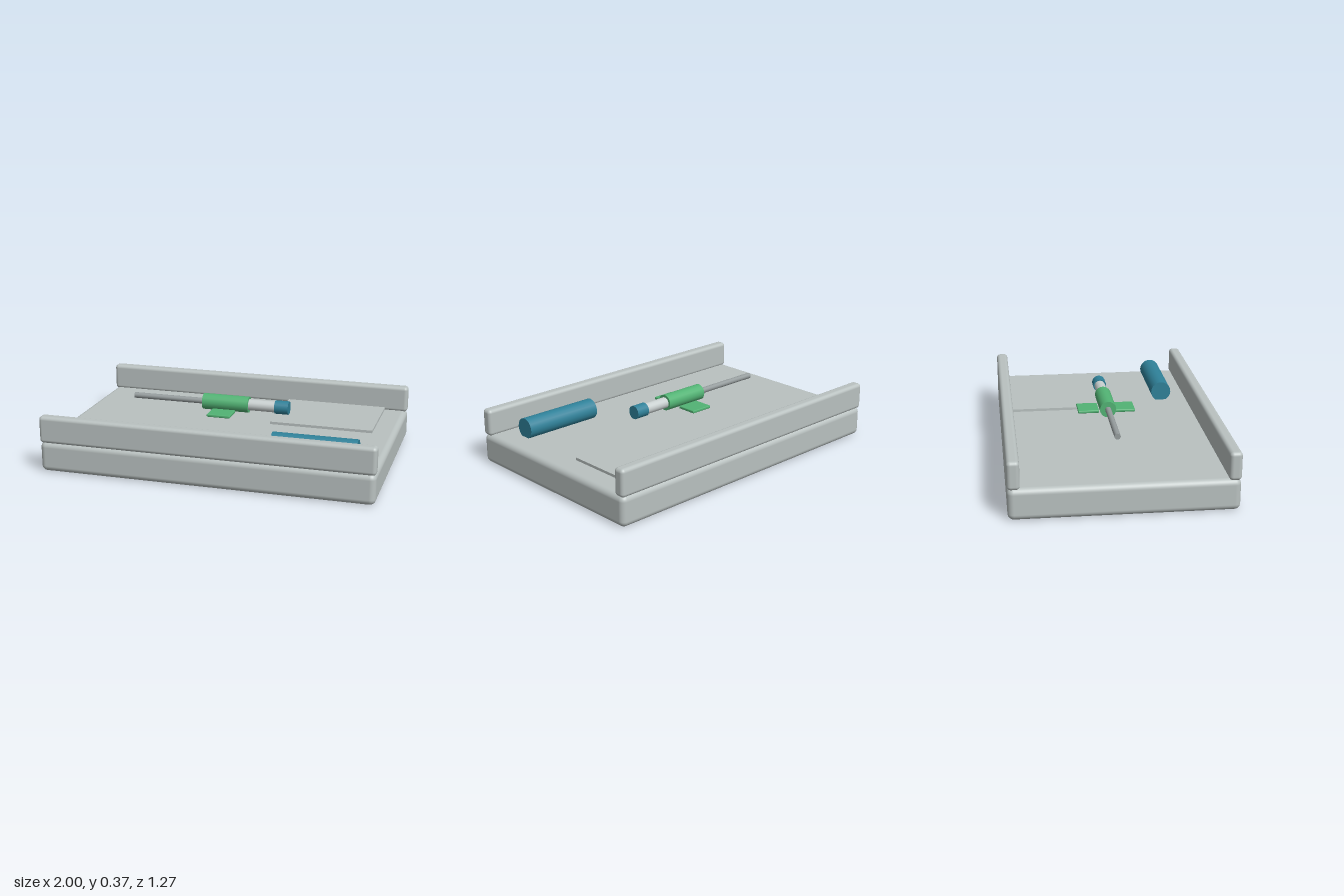
import * as THREE from 'three';
import { RoundedBoxGeometry } from 'three/addons/geometries/RoundedBoxGeometry.js';

const mat = (name, color) => Object.assign(new THREE.MeshStandardMaterial({ color }), { name });

export function createModel() {
  const tray = mat('trayGrey', 0xb9c1c0);
  const clear = mat('barrelGrey', 0xc9d0d0);
  const steel = mat('needleSteel', 0x959c9d);
  const green = mat('wingGreen', 0x52b374);
  const blue = mat('capBlue', 0x2f8199);

  const model = new THREE.Group();
  model.name = 'needleTray';

  const add = (parent, name, geometry, material, x, y, z) => {
    const mesh = new THREE.Mesh(geometry, material);
    mesh.name = name;
    mesh.position.set(x, y, z);
    parent.add(mesh);
  };

  // Cylinder lying along x between two ends
  const rod = (parent, name, material, x0, x1, r, y, z, sides = 20) => {
    const g = new THREE.CylinderGeometry(r, r, x1 - x0, sides).rotateZ(Math.PI / 2);
    add(parent, name, g, material, (x0 + x1) / 2, y, z);
  };

  // Tray base with a rail on each long side
  add(model, 'trayBase', new RoundedBoxGeometry(2, 0.184, 1.272, 4, 0.035), tray, 0, 0.092, 0);
  for (const s of [1, -1]) {
    add(model, s > 0 ? 'frontRail' : 'backRail',
      new RoundedBoxGeometry(2, 0.164, 0.07, 4, 0.022), tray, 0, 0.258, s * 0.601);
  }

  // Thin pad lying on the tray
  add(model, 'pad', new THREE.BoxGeometry(0.635, 0.02, 0.5), tray, 0.542, 0.19, -0.322);

  // Loose needle cover
  rod(model, 'needleCover', blue, 0.36, 0.86, 0.063, 0.238, 0.408);

  // Winged needle
  const needle = new THREE.Group();
  needle.name = 'wingedNeedle';
  model.add(needle);
  const y = 0.321;
  rod(needle, 'needleShaft', steel, -0.635, -0.17, 0.018, y, 0, 16);
  rod(needle, 'hub', green, -0.18, 0.11, 0.049, y, 0);
  rod(needle, 'barrel', clear, 0.1, 0.28, 0.034, y, 0);
  rod(needle, 'endCap', blue, 0.275, 0.36, 0.041, y, 0);
  for (const s of [1, -1]) {
    add(needle, s > 0 ? 'frontWing' : 'backWing',
      new RoundedBoxGeometry(0.145, 0.017, 0.127, 2, 0.005), green, -0.038, 0.285, s * 0.11);
  }

  return model;
}
